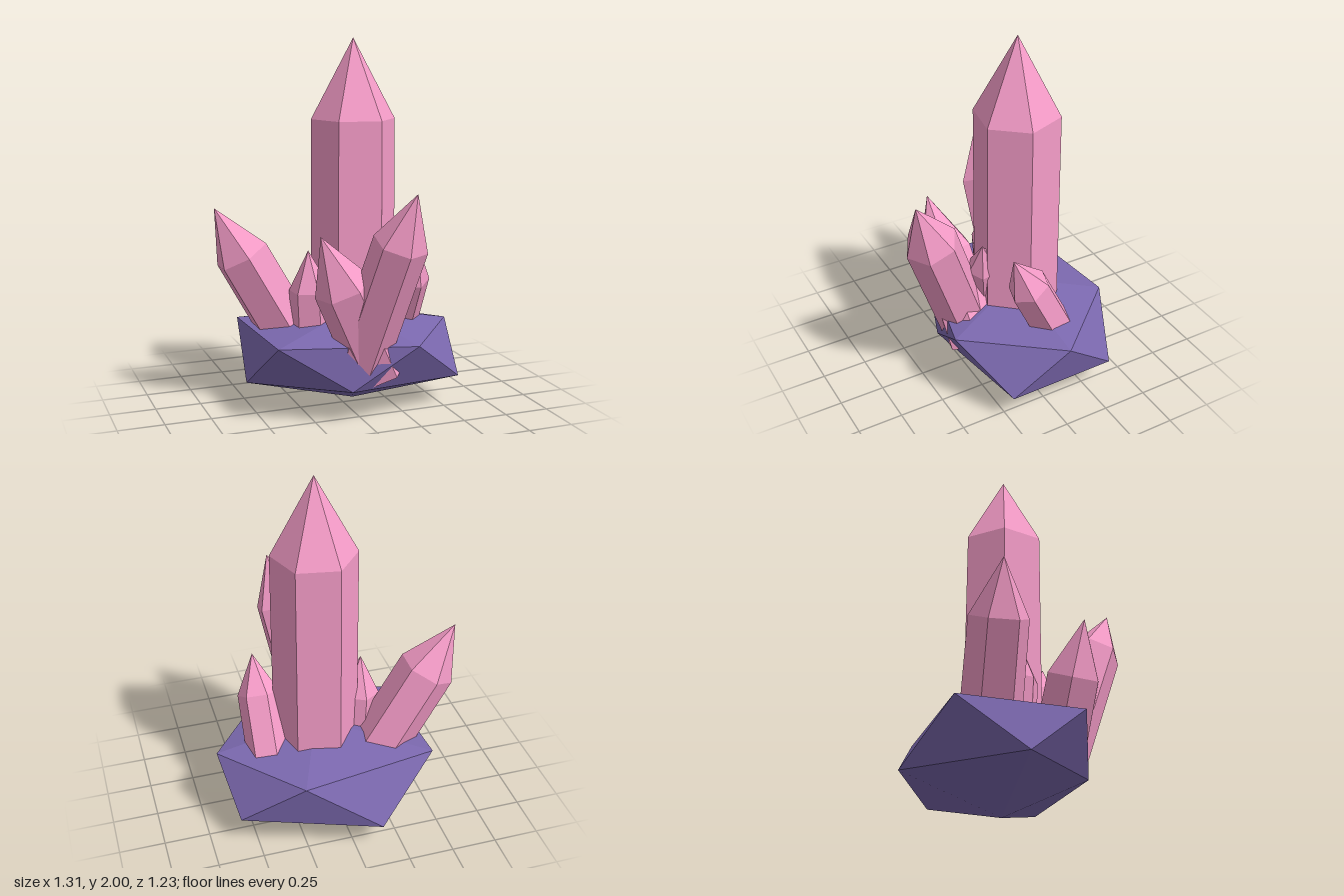
import * as THREE from 'three';

const pink = new THREE.MeshStandardMaterial({ color: 0xf59cc8, flatShading: true });
const purple = new THREE.MeshStandardMaterial({ color: 0x7b68ae, flatShading: true });

// Six-sided pointed prism running from the centre of its foot to its apex
function crystal(name, foot, apex, radius, tip, turn = 0) {
  const a = new THREE.Vector3(...foot);
  const axis = new THREE.Vector3(...apex).sub(a);
  const length = axis.length();
  const profile = [[0, 0], [radius * 1.03, 0], [radius, length - tip], [0, length]]
    .map(([r, y]) => new THREE.Vector2(r, y));
  const geometry = new THREE.LatheGeometry(profile, 6).rotateY(turn);
  const mesh = new THREE.Mesh(geometry, pink);
  mesh.name = name;
  mesh.position.copy(a);
  mesh.quaternion.setFromUnitVectors(new THREE.Vector3(0, 1, 0), axis.normalize());
  return mesh;
}

// Irregular twenty-faced rock: two staggered rings of five corners between two poles
function rock() {
  const bottom = [0.08, 0, -0.06];
  const top = [0.08, 0.52, -0.06];
  const upper = [[0.65, 0.41, -0.07], [0.27, 0.41, 0.42], [-0.45, 0.42, 0.25],
    [-0.49, 0.43, -0.41], [0.26, 0.41, -0.51]];
  const lower = [[0.59, 0.16, 0.24], [-0.08, 0.18, 0.36], [-0.54, 0.16, -0.05],
    [-0.14, 0.145, -0.62], [0.59, 0.165, -0.37]];
  const corners = [];
  for (let i = 0; i < 5; i++) {
    const j = (i + 1) % 5;
    corners.push(top, upper[j], upper[i]);
    corners.push(upper[i], upper[j], lower[i]);
    corners.push(lower[i], upper[j], lower[j]);
    corners.push(bottom, lower[i], lower[j]);
  }
  const geometry = new THREE.BufferGeometry();
  geometry.setAttribute('position', new THREE.Float32BufferAttribute(corners.flat(), 3));
  geometry.computeVertexNormals();
  const mesh = new THREE.Mesh(geometry, purple);
  mesh.name = 'rockBase';
  return mesh;
}

export function createModel() {
  const model = new THREE.Group();
  model.name = 'crystalCluster';
  model.add(
    rock(),
    crystal('mainCrystal', [0.08, 0.3, -0.06], [0.08, 2, -0.06], 0.23, 0.43, 0.35),
    crystal('rightLeaningCrystal', [-0.24, 0.35, -0.19], [-0.66, 1.1, -0.21], 0.155, 0.3),
    crystal('frontCrystal', [0, 0.24, 0.205], [0.18, 1.245, 0.575], 0.145, 0.29),
    crystal('frontRightCrystal', [0.12, 0.24, 0.23], [-0.24, 1.01, 0.315], 0.155, 0.31, 0.25),
    crystal('leftCrystal', [0.37, 0.36, -0.13], [0.385, 0.895, 0.13], 0.115, 0.22, 0.25),
    crystal('smallRightCrystal', [-0.16, 0.36, -0.05], [-0.19, 0.87, -0.03], 0.115, 0.22, 0.1),
    crystal('smallFrontCrystal', [0, 0.36, 0.09], [0.14, 0.86, 0.18], 0.09, 0.18),
  );
  return model;
}
